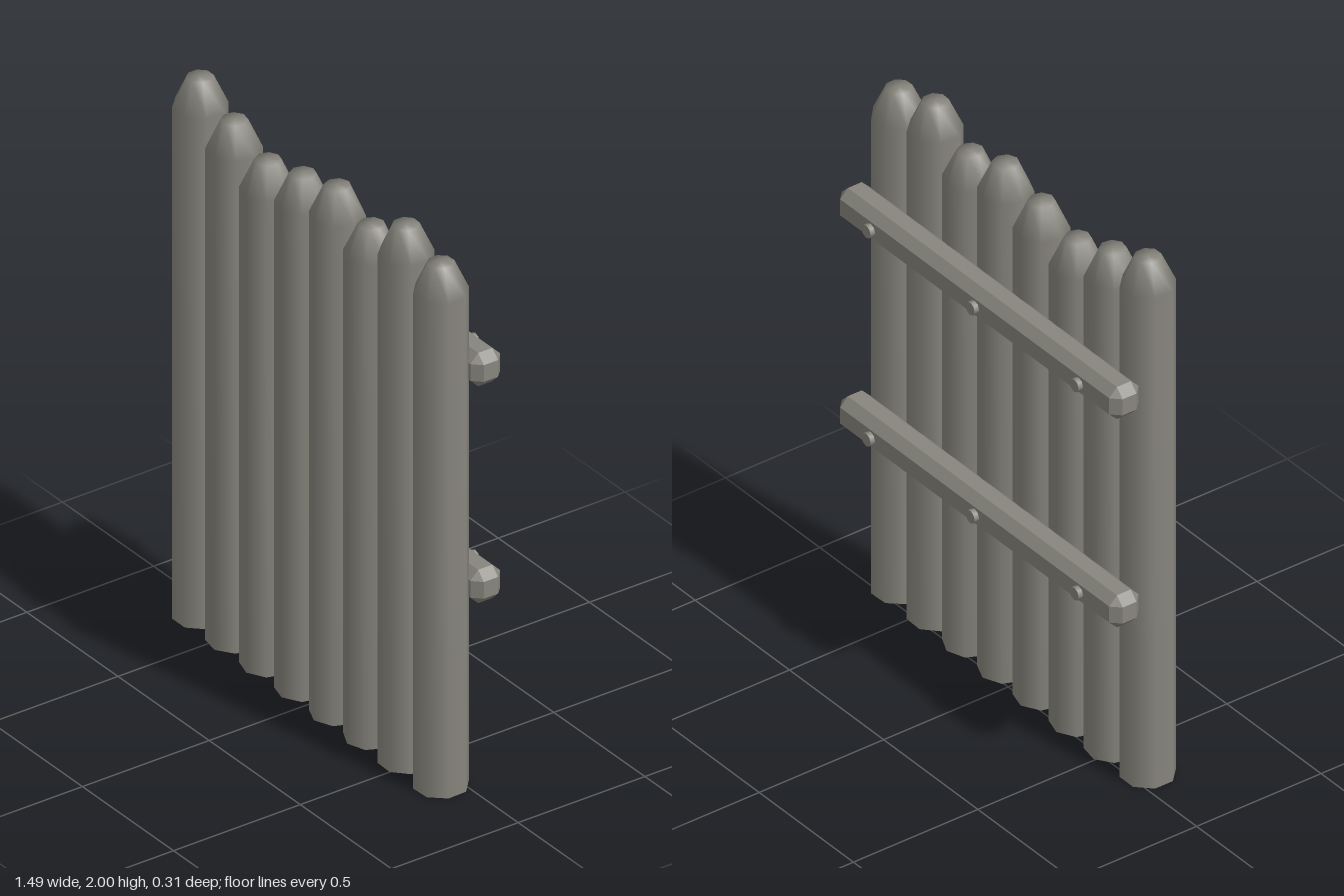
import * as THREE from 'three';
import { ConvexGeometry } from 'three/addons/geometries/ConvexGeometry.js';

// Box with flat chamfers on every edge and corner
function chamferedBox(w, h, d, c) {
  const pts = [];
  const [x, y, z] = [w / 2, h / 2, d / 2];
  for (const sx of [-1, 1]) for (const sy of [-1, 1]) for (const sz of [-1, 1]) {
    pts.push(
      new THREE.Vector3(sx * x, sy * (y - c), sz * (z - c)),
      new THREE.Vector3(sx * (x - c), sy * y, sz * (z - c)),
      new THREE.Vector3(sx * (x - c), sy * (y - c), sz * z));
  }
  return new ConvexGeometry(pts);
}

// Eight-sided log with a blunt tapered tip, open underneath
function logGeometry(height) {
  const r = 0.093;
  const profile = [[r, 0], [r, height - 0.105], [0.045, height], [0, height]];
  return new THREE.LatheGeometry(profile.map(([x, y]) => new THREE.Vector2(x, y)), 8);
}

export function createModel() {
  const model = new THREE.Group();
  model.name = 'palisadeWall';

  const logWood = new THREE.MeshStandardMaterial({ color: 0x87857d, side: THREE.DoubleSide });
  logWood.name = 'weathered grey wood';

  // Upright logs: x, height, turn in degrees
  const logs = [
    [-0.662, 2.0, 22.5], [-0.475, 1.93, 12], [-0.289, 1.87, 6], [-0.098, 1.91, 7],
    [0.092, 1.955, 0], [0.279, 1.9, -3], [0.467, 1.99, 20], [0.659, 1.94, 25],
  ];
  logs.forEach(([x, height, turn], i) => {
    const log = new THREE.Mesh(logGeometry(height), logWood);
    log.name = `log${i + 1}`;
    log.position.set(x, 0, 0.06);
    log.rotation.y = THREE.MathUtils.degToRad(turn);
    model.add(log);
  });

  // Two cross rails on the back, each with three pegs
  const railGeometry = chamferedBox(1.49, 0.124, 0.118, 0.031);
  const pegGeometry = new THREE.CylinderGeometry(0.024, 0.024, 0.03, 8).rotateX(Math.PI / 2);
  for (const [name, y] of [['lowerRail', 0.722], ['upperRail', 1.527]]) {
    const group = new THREE.Group();
    group.name = name;
    group.position.set(-0.003, y, -0.078);
    const beam = new THREE.Mesh(railGeometry, logWood);
    beam.name = 'beam';
    group.add(beam);
    for (const x of [-0.552, 0, 0.552]) {
      const peg = new THREE.Mesh(pegGeometry, logWood);
      peg.name = 'peg';
      peg.position.set(x, 0, -0.062);
      group.add(peg);
    }
    model.add(group);
  }
  return model;
}
